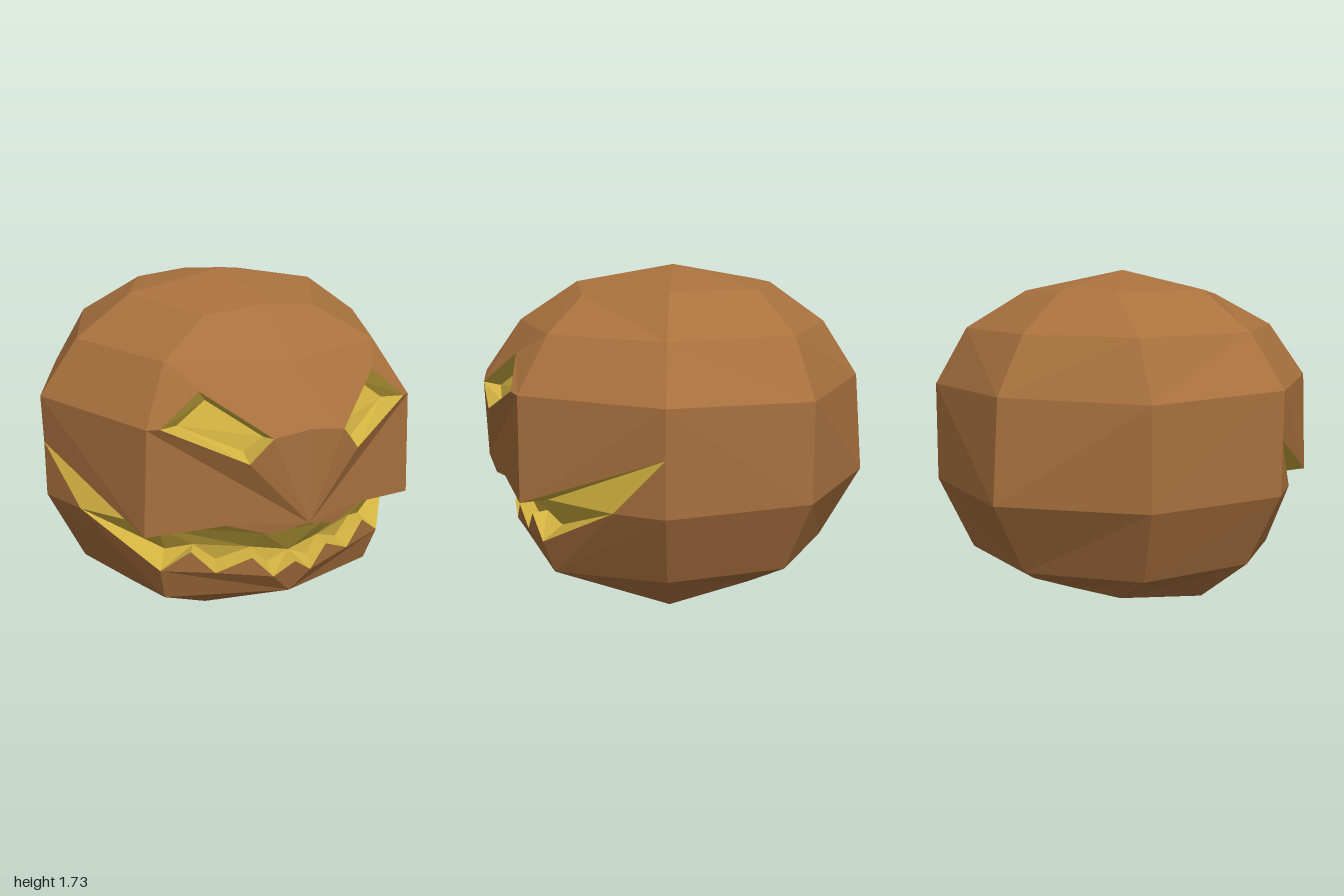
import * as THREE from 'three';

const CENTER = new THREE.Vector3(0, 0.87, 0);

// Collects triangles; every patch is added together with its mirror image.
class Patches {
  constructor() { this.pos = []; }
  tri(a, b, c) {
    for (const s of [1, -1]) {
      const [p, q, r] = [a, b, c].map(v => new THREE.Vector3(v[0] * s, v[1], v[2]));
      const n = q.clone().sub(p).cross(r.clone().sub(p));
      const mid = p.clone().add(q).add(r).divideScalar(3).sub(CENTER);
      const order = n.dot(mid) < 0 ? [p, r, q] : [p, q, r]; // face outward
      for (const v of order) this.pos.push(v.x, v.y, v.z);
    }
  }
  // Polygon triangulated as seen along z (u = 0) or along x (u = 2)
  poly(pts, u = 0) {
    const flat = pts.map(p => new THREE.Vector2(p[u], p[1]));
    for (const f of THREE.ShapeUtils.triangulateShape(flat, [])) this.tri(...f.map(i => pts[i]));
  }
  // Band between two rows of equal length
  strip(a, b) {
    for (let i = 0; i < a.length - 1; i++) {
      this.tri(a[i], b[i], b[i + 1]);
      this.tri(a[i], b[i + 1], a[i + 1]);
    }
  }
  mesh(name, material) {
    const g = new THREE.BufferGeometry();
    g.setAttribute('position', new THREE.Float32BufferAttribute(this.pos, 3));
    g.computeVertexNormals();
    const m = new THREE.Mesh(g, material);
    m.name = name;
    return m;
  }
}

export function createModel() {
  const skin = new THREE.MeshStandardMaterial({ color: 0xa9713e, flatShading: true });
  skin.name = 'brown skin';
  const glow = new THREE.MeshStandardMaterial({ color: 0xd0b040, flatShading: true, side: THREE.DoubleSide });
  glow.name = 'yellow carving';

  // Half rings from front to back, top to bottom
  const top = [0, 1.73, 0], bottom = [0, 0, 0];
  const rings = [
    [[0, 1.64, 0.5], [0.29, 1.6, 0.44], [0.5, 1.64, 0], [0.29, 1.63, -0.43], [0, 1.64, -0.5]],
    [[0, 1.44, 0.8], [0.55, 1.44, 0.58], [0.78, 1.44, 0], [0.55, 1.44, -0.6], [0, 1.44, -0.78]],
    [[0, 1.17, 0.99], [0.69, 1.17, 0.71], [0.975, 1.17, 0], [0.69, 1.15, -0.69], [0, 1.16, -0.96]],
    [[0, 0.71, 0.99], [0.71, 0.65, 0.71], [0.965, 0.65, 0], [0.69, 0.65, -0.69], [0, 0.65, -1]],
    [[0, 0.28, 0.8], [0.56, 0.25, 0.57], [0.78, 0.28, 0], [0.56, 0.28, -0.57], [0, 0.28, -0.79]],
    [[0, 0.12, 0.5], [0.29, 0.11, 0.44], [0.51, 0.065, 0], [0.29, 0.11, -0.4], [0, 0.12, -0.43]],
  ];
  const [, r1, r2, r3, r4, r5] = rings;

  // Eye rim: inner corner, lower, outer corner, upper
  const eye = [[0.18, 1.14, 0.97], [0.28, 1.02, 0.93], [0.64, 1.18, 0.75], [0.45, 1.335, 0.75]];
  const eyeFloor = [[0.19, 1.125, 0.88], [0.28, 1.06, 0.86], [0.54, 1.17, 0.7], [0.4, 1.275, 0.7]];

  // Mouth rims and the recessed edges behind them, from the middle outward
  const corner = [0.967, 0.93, 0], cheek = [0.87, 0.65, 0.25];
  const upperLip = [r3[0], [0.17, 0.655, 0.92], [0.36, 0.705, 0.85], r3[1]];
  const upperIn = [[0, 0.645, 0.88], [0.17, 0.63, 0.83], [0.36, 0.65, 0.76], [0.6, 0.635, 0.59]];
  const lowerLip = [[0, 0.46, 0.86], [0.1, 0.385, 0.83], [0.2, 0.49, 0.8],
    [0.36, 0.41, 0.73], [0.47, 0.525, 0.69], [0.6, 0.42, 0.62]];
  const lowerIn = [[0, 0.49, 0.78], [0.11, 0.44, 0.77], [0.18, 0.52, 0.74],
    [0.33, 0.45, 0.66], [0.43, 0.53, 0.62], [0.54, 0.49, 0.53]];

  // Crown, back and underside
  const shell = new Patches();
  for (let i = 0; i < 4; i++) {
    shell.tri(top, rings[0][i], rings[0][i + 1]);
    shell.tri(bottom, r5[i], r5[i + 1]);
  }
  shell.strip(rings[0], r1);
  shell.strip(r4, r5);
  shell.strip(r1.slice(1), r2.slice(1));
  shell.strip(r2.slice(2), r3.slice(2));
  shell.strip(r3.slice(2), r4.slice(2));

  // Face panels around the carved openings
  const face = new Patches();
  face.poly([r2[0], r1[0], r1[1], r2[1], eye[2], eye[3], eye[0]]);
  face.poly([r2[0], eye[0], eye[1], eye[2], r2[1], ...upperLip.slice().reverse()]);
  face.poly([corner, r2[2], r2[1], r3[1]], 2);

  // Jaw
  const jaw = new Patches();
  jaw.poly([...lowerLip, r4[1], r4[0]]);
  jaw.poly([corner, r3[2], r4[2], r4[1], lowerLip[5], cheek], 2);

  // Eye sockets
  const sockets = new Patches();
  sockets.strip([...eye, eye[0]], [...eyeFloor, eyeFloor[0]]);
  sockets.poly(eyeFloor);

  // Mouth lining: ceiling, back wall, toothed edge and cheek slits
  const mouth = new Patches();
  mouth.strip(upperLip, upperIn);
  mouth.poly([...upperIn, ...lowerIn.slice().reverse()]);
  mouth.strip(lowerIn, lowerLip);
  mouth.tri(corner, r3[1], upperIn[3]);
  mouth.tri(corner, upperIn[3], cheek);
  mouth.tri(cheek, upperIn[3], lowerIn[5]);
  mouth.tri(cheek, lowerIn[5], lowerLip[5]);

  const group = new THREE.Group();
  group.name = 'carvedPumpkin';
  group.add(shell.mesh('shell', skin), face.mesh('face', skin), jaw.mesh('jaw', skin),
    sockets.mesh('eyeSockets', glow), mouth.mesh('mouth', glow));
  return group;
}
